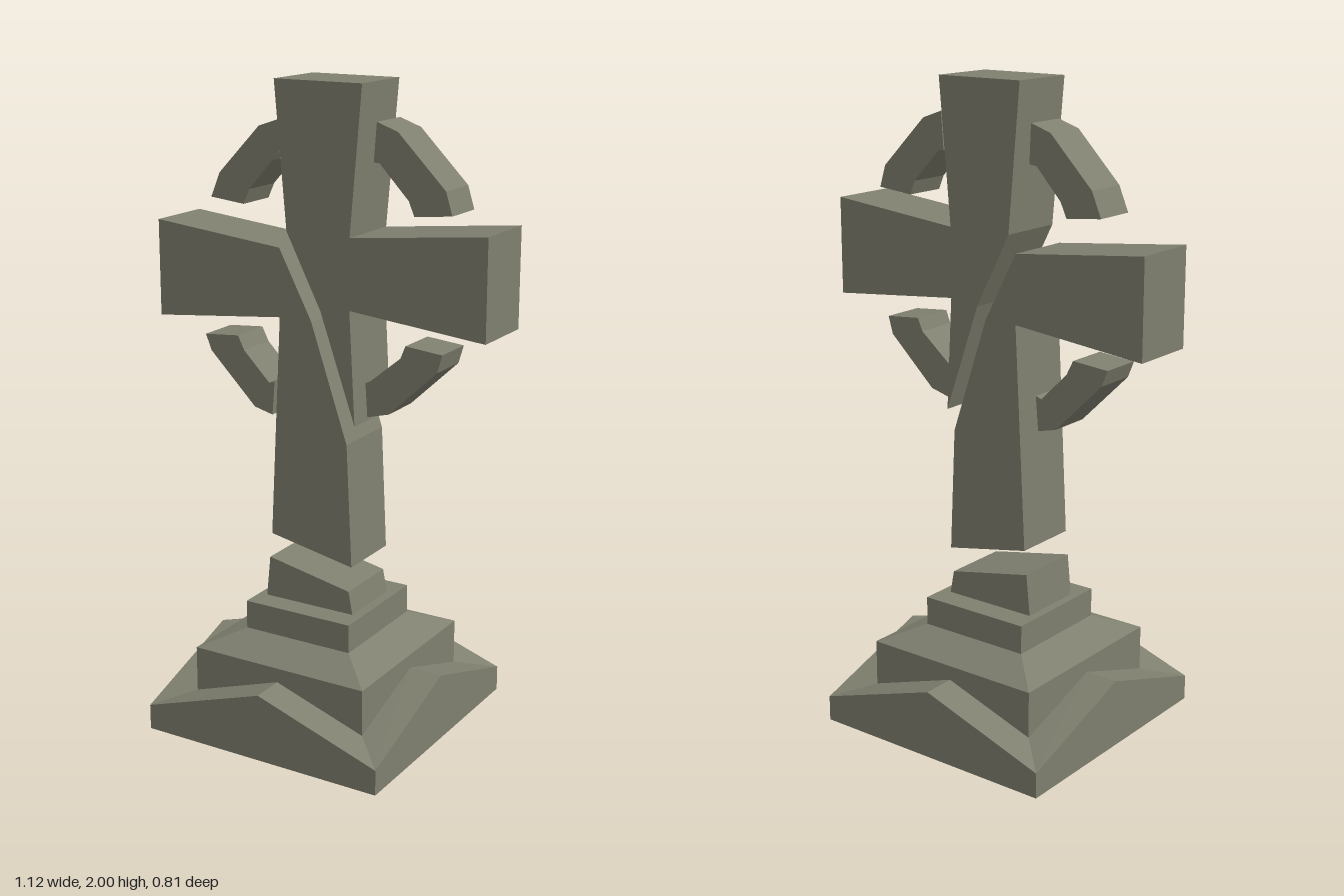
import * as THREE from 'three';

const stone = new THREE.MeshStandardMaterial({ color: 0x808070, side: THREE.DoubleSide });
stone.name = 'weathered stone';

// Flat slab: an outline in the xy plane, extruded between two z values
function slab(name, points, zBack, zFront) {
  const shape = new THREE.Shape(points.map(([x, y]) => new THREE.Vector2(x, y)));
  const geometry = new THREE.ExtrudeGeometry(shape, { depth: zFront - zBack, bevelEnabled: false });
  geometry.translate(0, 0, zBack);
  const mesh = new THREE.Mesh(geometry, stone);
  mesh.name = name;
  return mesh;
}

// Square ring of eight points: corners at one height, side middles at another
function ring(half, cornerY, middleY = cornerY) {
  const cx = -0.018, cz = -0.002;
  const dirs = [[1, 1], [1, 0], [1, -1], [0, -1], [-1, -1], [-1, 0], [-1, 1], [0, 1]];
  return dirs.map(([x, z]) => [cx + x * half, x && z ? cornerY : middleY, cz + z * half]);
}

// Hollow stepped plinth, open underneath, with a gable on each side of the skirt
function plinth() {
  const rings = [
    ring(0.405, 0),
    ring(0.405, 0.08, 0.215),
    ring(0.298, 0.115, 0.215),
    ring(0.298, 0.26),
    ring(0.184, 0.31),
    ring(0.184, 0.4),
  ];
  const positions = [];
  const triangle = (...corners) => corners.forEach((p) => positions.push(...p));
  for (let r = 0; r < rings.length - 1; r++) {
    for (let i = 0; i < 8; i++) {
      const j = (i + 1) % 8;
      const [a, b, c, d] = [rings[r][i], rings[r][j], rings[r + 1][j], rings[r + 1][i]];
      triangle(a, b, c);
      triangle(a, c, d);
    }
  }
  const top = rings[rings.length - 1];
  for (let i = 1; i < 7; i++) triangle(top[0], top[i], top[i + 1]);
  const geometry = new THREE.BufferGeometry();
  geometry.setAttribute('position', new THREE.Float32BufferAttribute(positions, 3));
  geometry.computeVertexNormals();
  const mesh = new THREE.Mesh(geometry, stone);
  mesh.name = 'plinth';
  return mesh;
}

export function createModel() {
  const model = new THREE.Group();
  model.name = 'brokenStoneCross';
  model.add(plinth());

  // Stump left standing on the plinth
  model.add(slab('stump', [[-0.175, 0.4], [0.135, 0.4], [0.121, 0.473], [-0.162, 0.53]], -0.108, 0.107));

  // Two halves of the cross, parted by a jagged crack
  const back = -0.112, front = 0.102;
  model.add(slab('shaftAndRightArm', [
    [-0.157, 0.608], [0.128, 0.552], [0.11, 0.938], [-0.012, 1.3],
    [-0.122, 1.51], [-0.56, 1.555], [-0.56, 1.255], [-0.122, 1.3],
  ], back, front));
  model.add(slab('headAndLeftArm', [
    [0.137, 1.0], [0.118, 1.348], [0.557, 1.305], [0.557, 1.607], [0.118, 1.562],
    [0.157, 2], [-0.135, 2], [-0.096, 1.562], [0.02, 1.335],
  ], back, front));

  // Loose fragments of the ring around the crossing
  const fragments = {
    upperRightRing: [[-0.146, 1.88], [-0.214, 1.857], [-0.357, 1.709], [-0.389, 1.633],
      [-0.272, 1.621], [-0.251, 1.667], [-0.167, 1.76], [-0.141, 1.764]],
    upperLeftRing: [[0.183, 1.892], [0.251, 1.868], [0.405, 1.714], [0.426, 1.646],
      [0.306, 1.634], [0.288, 1.677], [0.193, 1.776], [0.174, 1.778]],
    lowerRightRing: [[-0.42, 1.203], [-0.3, 1.213], [-0.278, 1.169], [-0.188, 1.079],
      [-0.168, 1.086], [-0.177, 0.979], [-0.241, 0.995], [-0.4, 1.153]],
    lowerLeftRing: [[0.283, 1.256], [0.403, 1.245], [0.387, 1.19], [0.23, 1.042],
      [0.158, 1.023], [0.151, 1.127], [0.167, 1.134], [0.267, 1.217]],
  };
  for (const [name, outline] of Object.entries(fragments)) model.add(slab(name, outline, -0.073, 0.063));

  return model;
}
